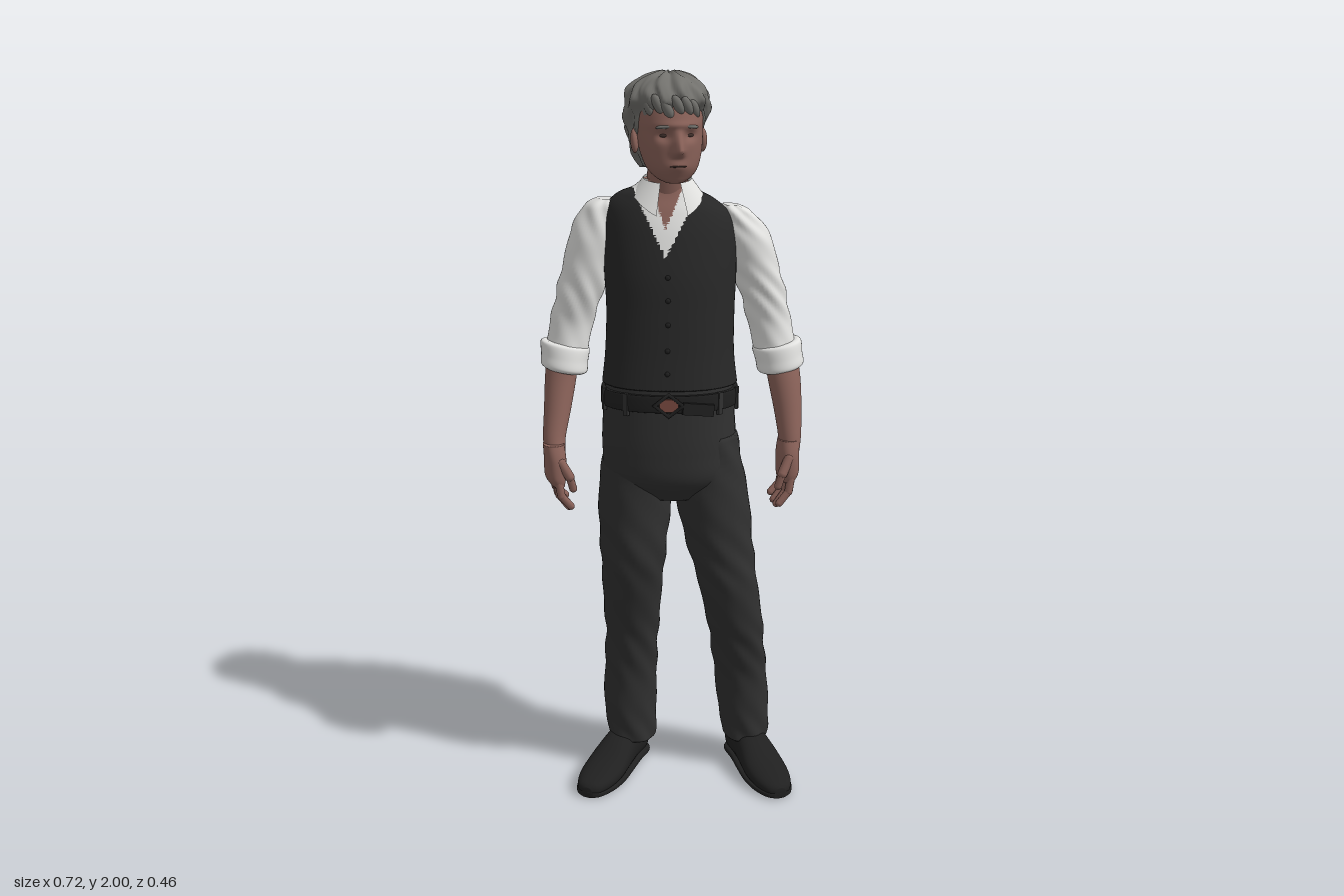
import * as THREE from 'three';
import { mergeVertices } from 'three/addons/utils/BufferGeometryUtils.js';

const mat = (name, color, side = THREE.FrontSide) => {
  const m = new THREE.MeshStandardMaterial({ color, side });
  m.name = name;
  return m;
};
const skin = mat('skin', 0x8a6259), hair = mat('grey hair', 0x72716d);
const white = mat('white shirt', 0xe2e2e0, THREE.DoubleSide), vestCloth = mat('vest cloth', 0x272727);
const trouserCloth = mat('trouser cloth', 0x313131), leather = mat('black leather', 0x202020);
const copper = mat('copper buckle', 0x7a4a40), dark = mat('dark line', 0x40302c);

// Smooth surface from a rule f(u, v); u runs to the right, v runs down
function grid(f, nu, nv) {
  const g = new THREE.PlaneGeometry(1, 1, nu, nv), p = g.attributes.position;
  for (let j = 0, k = 0; j <= nv; j++)
    for (let i = 0; i <= nu; i++, k++) p.setXYZ(k, ...f((i % nu || (i && f.open ? nu : 0)) / nu, j / nv, j));
  g.deleteAttribute('uv');
  g.deleteAttribute('normal');
  const m = mergeVertices(g, 1e-6);
  m.computeVertexNormals();
  return m;
}

const spline = (a, b, c, d, t) =>
  0.5 * (2 * b + (c - a) * t + (2 * a - 5 * b + 4 * c - d) * t * t + (3 * b - a - 3 * c + d) * t ** 3);

function sample(secs, v) {
  const s = v * (secs.length - 1), i = Math.min(Math.floor(s), secs.length - 2);
  const at = k => secs[Math.max(0, Math.min(secs.length - 1, k))];
  return secs[i].map((_, c) => spline(at(i - 1)[c], at(i)[c], at(i + 1)[c], at(i + 2)[c], s - i));
}

// Closed loft through sections [y, centreX, centreZ, radiusX, radiusZ], listed from the top
function loft(secs, { rot = 0, n = 2, warp = null, nu = 40, nv = 40 } = {}) {
  const c = Math.cos(rot), s = Math.sin(rot);
  const power = a => Math.sign(a) * Math.abs(a) ** (2 / n);
  return grid((u, v, j) => {
    const [y, cx, cz, rx, rz] = sample(secs, Math.max(0, Math.min(1, (j - 1) / (nv - 2))));
    const k = j === 0 || j === nv ? 0 : 1, a = u * Math.PI * 2 + Math.PI;
    const x = power(Math.sin(a)) * rx * k, z = power(Math.cos(a)) * rz * k;
    const p = [cx + x * c + z * s, y, cz - x * s + z * c];
    return warp && k ? warp(p, a, cx, cz) : p;
  }, nu, nv);
}

// Sort triangles into material groups by a rule on their centres
function paint(g, rule, count) {
  const p = g.attributes.position, idx = g.index.array, lists = Array.from({ length: count }, () => []);
  for (let i = 0; i < idx.length; i += 3) {
    const t = [idx[i], idx[i + 1], idx[i + 2]];
    const mid = f => (f(t[0]) + f(t[1]) + f(t[2])) / 3;
    lists[rule(mid(k => p.getX(k)), mid(k => p.getY(k)), mid(k => p.getZ(k)))].push(...t);
  }
  g.setIndex(lists.flat());
  let start = 0;
  lists.forEach((l, m) => { g.addGroup(start, l.length, m); start += l.length; });
  return g;
}

function add(parent, name, geometry, material, pos = [0, 0, 0], scale = [1, 1, 1], rot = [0, 0, 0]) {
  const m = new THREE.Mesh(geometry, material);
  m.name = name;
  m.position.set(...pos); m.scale.set(...scale); m.rotation.set(...rot);
  parent.add(m);
  return m;
}

function group(parent, name, x = 0, y = 0, z = 0, ry = 0) {
  const g = new THREE.Group();
  g.name = name; g.position.set(x, y, z); g.rotation.y = ry;
  parent.add(g);
  return g;
}

// Rounded finger segment between two points
function segment(parent, name, a, b, r) {
  const A = new THREE.Vector3(...a), B = new THREE.Vector3(...b), d = B.clone().sub(A);
  const m = add(parent, name, new THREE.CapsuleGeometry(r, d.length(), 4, 10), skin, A.clone().add(B).multiplyScalar(0.5).toArray());
  m.quaternion.setFromUnitVectors(new THREE.Vector3(0, 1, 0), d.normalize());
}

// Soft cloth folds pushed out from the centre line
const folds = (amp, freq) => ([x, y, z], a, cx, cz) => {
  const w = amp * Math.sin(freq * y + 2 * Math.sin(a + 1) + 3 * a / Math.PI * Math.sin(a)) * (0.6 + 0.4 * Math.sin(freq * 0.37 * y));
  return [x + Math.sin(a) * w, y, z + Math.cos(a) * w];
};

function buildHead(root) {
  const head = group(root, 'head', -0.018, 0, 0, -0.05);
  const bump = (d, w) => Math.exp(-d * d / (w * w));
  // Face with eye sockets, brow and nose shaped by rule
  const face = ([x, y, z]) => {
    if (z < 0) return [x, y, z];
    const nose = y > 1.803 ? Math.max(0, 1 - (y - 1.803) / 0.058) : Math.max(0, 1 - (1.803 - y) / 0.018);
    const dz = 0.036 * nose * bump(x, 0.014) - 0.012 * bump(Math.abs(x) - 0.034, 0.018) * bump(y - 1.842, 0.013)
      + 0.006 * bump(y - 1.868, 0.01) * bump(x, 0.06) + 0.004 * bump(y - 1.765, 0.012) * bump(x, 0.025);
    return [x, y, z + dz];
  };
  add(head, 'face', loft([[1.722, 0, 0.055, 0.022, 0.022], [1.735, 0, 0.043, 0.046, 0.042], [1.76, 0, 0.028, 0.067, 0.068],
    [1.8, 0, 0.013, 0.08, 0.086], [1.85, 0, 0, 0.086, 0.1], [1.89, 0, -0.01, 0.087, 0.107], [1.94, 0, -0.02, 0.08, 0.095],
    [1.97, 0, -0.02, 0.05, 0.06]].reverse(), { warp: face, nu: 96, nv: 70 }), skin);
  const ball = new THREE.SphereGeometry(1, 20, 14);
  for (const s of [-1, 1]) {
    add(head, 'ear', ball, skin, [s * 0.09, 1.825, -0.012], [0.011, 0.032, 0.02], [-0.2, s * 0.3, 0]);
    add(head, 'eye', ball, dark, [s * 0.034, 1.843, 0.079], [0.014, 0.005, 0.004], [0, s * 0.35, 0]);
    add(head, 'eyebrow', ball, hair, [s * 0.037, 1.865, 0.091], [0.021, 0.005, 0.006], [0, s * 0.4, s * -0.1]);
  }
  add(head, 'mouth', ball, dark, [0, 1.766, 0.098], [0.023, 0.0025, 0.004]);
  // Hair with wavy swept ridges
  const waves = ([x, y, z], a, cx, cz) => {
    const w = 1 + 0.045 * Math.sin(13 * a + 45 * y) + 0.035 * Math.sin(7 * a - 70 * y) + 0.02 * Math.sin(23 * a + 90 * y);
    return [cx + (x - cx) * w, y + 0.004 * Math.sin(9 * a), cz + (z - cz) * w];
  };
  add(head, 'hair', loft([[1.997, 0.005, -0.025, 0.025, 0.03], [1.985, 0.004, -0.025, 0.062, 0.068], [1.96, 0, -0.023, 0.094, 0.102],
    [1.93, 0, -0.02, 0.106, 0.115], [1.9, 0, -0.033, 0.108, 0.107], [1.85, 0, -0.05, 0.1, 0.088], [1.8, 0, -0.062, 0.086, 0.068],
    [1.755, 0, -0.07, 0.062, 0.048]], { warp: waves, nu: 110, nv: 70 }), hair);
  for (let i = 0; i < 7; i++) {
    const a = -0.9 + i * 0.3;
    add(head, 'fringe lock', ball, hair, [Math.sin(a) * 0.086, 1.915 + 0.008 * Math.sin(i * 2.3), -0.015 + Math.cos(a) * 0.108],
      [0.013, 0.027, 0.011], [0.15, a, 0.5]);
  }
  add(root, 'neck', loft([[1.79, -0.017, -0.015, 0.052, 0.055], [1.72, -0.016, -0.028, 0.054, 0.056],
    [1.64, -0.012, -0.05, 0.062, 0.062]]), skin);
  // Open collar with points at the front
  const collar = (u, v) => {
    const a = 0.42 + u * (Math.PI * 2 - 0.84), f = (1 + Math.cos(a)) / 2, r = 0.064 + v * (0.018 + 0.02 * f);
    return [Math.sin(a) * r, 1.737 - 0.02 * f - v * (0.035 + 0.055 * f ** 4), Math.cos(a) * r];
  };
  collar.open = true;
  add(group(root, 'collar', -0.015, 0, -0.03, -0.15), 'shirt collar', grid(collar, 60, 8), white);
}

function buildTorso(root) {
  const rot = -0.33;
  const secs = [[1.72, -0.015, -0.04, 0.06, 0.055], [1.695, -0.01, -0.055, 0.09, 0.075], [1.675, -0.01, -0.062, 0.13, 0.088],
    [1.64, -0.005, -0.065, 0.165, 0.108], [1.58, 0, -0.062, 0.177, 0.128], [1.48, 0, -0.055, 0.178, 0.147],
    [1.38, -0.005, -0.037, 0.173, 0.142], [1.27, -0.013, -0.018, 0.174, 0.135], [1.185, -0.015, -0.012, 0.183, 0.141]];
  const tilt = ([x, y, z]) => [x, y - Math.max(0, y - 1.5) * 0.35 * x, z];
  const body = loft(secs, { rot, n: 2.2, warp: tilt, nu: 140, nv: 120 });
  // Vest with a V opening over shirt and bare throat
  const region = (x, y, z) => {
    const lx = (x + 0.005) * Math.cos(rot) - (z + 0.06) * Math.sin(rot);
    const lz = (x + 0.005) * Math.sin(rot) + (z + 0.06) * Math.cos(rot);
    if (lz > 0 && y > 1.6 && Math.abs(lx) < (y - 1.6) * 0.4) return 2;
    return y > 1.7 || (lz > 0 && y > 1.53 && Math.abs(lx) < (y - 1.53) * 0.52) ? 1 : 0;
  };
  add(root, 'vest and shirt front', paint(body, region, 3), [vestCloth, white, skin]);
  // Buttons down the front
  for (const k of [5, 5.6, 6.2, 6.8, 7.4]) {
    const [y, cx, cz, , d] = sample(secs, k / 8);
    add(root, 'vest button', new THREE.SphereGeometry(0.007, 12, 8), leather,
      [cx + Math.sin(rot) * d, y, cz + Math.cos(rot) * d], [1, 1, 0.6], [0, rot, 0]);
  }
  // Hips, belt and buckle
  add(root, 'trouser hips', loft([[1.2, -0.015, -0.012, 0.173, 0.13], [1.1, -0.015, -0.02, 0.18, 0.137], [1.0, -0.012, -0.025, 0.185, 0.14],
    [0.92, -0.005, -0.027, 0.178, 0.133], [0.86, 0, -0.028, 0.1, 0.09]], { rot: -0.3, n: 2.2 }), trouserCloth);
  add(root, 'belt', loft([[1.172, -0.015, -0.013, 0.182, 0.139], [1.168, -0.015, -0.013, 0.186, 0.143],
    [1.13, -0.015, -0.015, 0.187, 0.144], [1.126, -0.015, -0.015, 0.182, 0.139]], { rot: -0.3, n: 2.2, nu: 64, nv: 14 }), leather);
  const waist = group(root, 'belt fittings', -0.015, 1.148, -0.013, -0.3);
  add(waist, 'buckle', new THREE.TorusGeometry(0.03, 0.006, 8, 4), leather, [0, 0, 0.148], [1.25, 1, 1], [0, 0, 0]);
  add(waist, 'buckle plate', new THREE.BoxGeometry(0.05, 0.034, 0.009), copper, [0, 0, 0.145]);
  add(waist, 'belt tail', new THREE.BoxGeometry(0.085, 0.032, 0.01), leather, [0.078, -0.012, 0.139], [1, 1, 1], [0, 0.25, -0.12]);
  for (const a of [-1.2, -0.65, 0.8, 1.3, 2.5, 3.14, 3.8])
    add(waist, 'belt loop', new THREE.BoxGeometry(0.014, 0.06, 0.01), trouserCloth,
      [Math.sin(a) * 0.188, -0.004, Math.cos(a) * 0.145], [1, 1, 1], [0, a, 0]);
}

function buildArm(root, name, s, sleeve, cuff, forearm, palm) {
  const arm = group(root, name);
  add(arm, 'sleeve', loft(sleeve, { warp: folds(0.0035, 75), nu: 48, nv: 70 }), white);
  const [cy, cx, cz] = cuff;
  add(arm, 'rolled cuff', loft([[cy + 0.04, cx - s * 0.006, cz - 0.01, 0.058, 0.06], [cy + 0.032, cx - s * 0.004, cz - 0.008, 0.067, 0.069],
    [cy, cx, cz, 0.064, 0.068], [cy - 0.027, cx + s * 0.003, cz + 0.006, 0.063, 0.066], [cy - 0.037, cx + s * 0.004, cz + 0.008, 0.05, 0.053]],
    { warp: ([x, y, z]) => [x, y + s * (x - cx) * 0.2, z] }), white);
  add(arm, 'forearm', loft(forearm), skin);
  // Hand with curled fingers
  const [px, py, pz] = palm, P = (x, y, z) => [px + s * x, py + y, pz + z];
  add(arm, 'palm', loft([[py + 0.07, px + s * 0.003, pz - 0.003, 0.028, 0.034], [py + 0.03, px, pz, 0.029, 0.044],
    [py - 0.02, px, pz, 0.027, 0.047], [py - 0.045, px - s * 0.005, pz, 0.018, 0.042]], { n: 2.3 }), skin);
  for (let i = 0; i < 4; i++) {
    const z = 0.034 - i * 0.023, len = [0.9, 1, 0.94, 0.75][i];
    const mid = P(-0.008, -0.03 - 0.045 * len, z * 1.05);
    segment(arm, 'finger', P(0, -0.025, z), mid, 0.0115);
    segment(arm, 'finger', mid, P(-0.034, -0.03 - 0.08 * len, z), 0.0105);
  }
  segment(arm, 'thumb', P(-0.008, 0.025, 0.034), P(-0.03, -0.015, 0.044), 0.0135);
  segment(arm, 'thumb', P(-0.03, -0.015, 0.044), P(-0.04, -0.05, 0.04), 0.011);
}

function buildLeg(root, name, secs, heel, turn) {
  add(root, name, loft(secs, { n: 2.2, warp: folds(0.003, 55), nu: 48, nv: 90 }), trouserCloth);
  // Shoe lofted from toe to heel along its length
  const shoe = [[0.34, 0, -0.02, 0.014, 0.012], [0.325, 0, -0.024, 0.036, 0.02], [0.28, 0, -0.03, 0.054, 0.027], [0.22, 0, -0.038, 0.06, 0.035],
    [0.15, 0, -0.052, 0.054, 0.05], [0.08, 0, -0.06, 0.046, 0.06], [0.02, 0, -0.055, 0.044, 0.053], [0, 0, -0.05, 0.03, 0.043]];
  const foot = group(root, name + ' shoe', heel[0], 0, heel[1], turn);
  add(foot, 'shoe upper', loft(shoe, { n: 2.3 }).rotateX(Math.PI / 2), leather);
  add(foot, 'sole', loft(shoe.map(([t, x, , w]) => [t, x, -0.011, w + 0.003, t < 0.1 ? 0.011 : 0.009]), { n: 4 }).rotateX(Math.PI / 2), leather);
}

export function createModel() {
  const root = new THREE.Group();
  root.name = 'standing man';
  buildHead(root);
  buildTorso(root);
  buildArm(root, 'left arm', 1,
    [[1.65, 0.165, -0.04, 0.02, 0.035], [1.63, 0.178, -0.037, 0.046, 0.058], [1.57, 0.205, -0.03, 0.065, 0.073], [1.5, 0.225, -0.025, 0.066, 0.072],
      [1.42, 0.25, -0.02, 0.063, 0.066], [1.33, 0.273, -0.018, 0.06, 0.062], [1.24, 0.29, -0.004, 0.058, 0.06]],
    [1.235, 0.295, 0.003],
    [[1.24, 0.297, 0.012, 0.045, 0.047], [1.18, 0.3, 0.033, 0.045, 0.047], [1.1, 0.302, 0.06, 0.038, 0.042], [1.03, 0.3, 0.084, 0.031, 0.036],
      [0.99, 0.297, 0.09, 0.028, 0.036]],
    [0.95, 0.292, 0.092].length && [0.292, 0.95, 0.092]);
  buildArm(root, 'right arm', -1,
    [[1.668, -0.16, -0.125, 0.02, 0.035], [1.645, -0.175, -0.13, 0.046, 0.058], [1.57, -0.195, -0.135, 0.061, 0.072], [1.5, -0.21, -0.14, 0.063, 0.072],
      [1.42, -0.228, -0.15, 0.063, 0.07], [1.33, -0.25, -0.162, 0.06, 0.063], [1.24, -0.27, -0.155, 0.057, 0.06]],
    [1.235, -0.275, -0.15],
    [[1.24, -0.28, -0.15, 0.044, 0.046], [1.18, -0.29, -0.138, 0.043, 0.045], [1.1, -0.306, -0.113, 0.037, 0.041], [1.03, -0.322, -0.087, 0.031, 0.036],
      [0.99, -0.325, -0.072, 0.028, 0.036]],
    [-0.327, 0.945, -0.062]);
  buildLeg(root, 'left trouser leg',
    [[1.04, 0.085, 0, 0.08, 0.11], [0.85, 0.103, 0.005, 0.099, 0.114], [0.7, 0.125, 0.015, 0.09, 0.104], [0.6, 0.145, 0.019, 0.082, 0.099],
      [0.48, 0.17, 0.01, 0.078, 0.091], [0.4, 0.186, -0.008, 0.075, 0.089], [0.3, 0.203, -0.027, 0.074, 0.083], [0.2, 0.214, -0.032, 0.074, 0.079],
      [0.12, 0.222, -0.034, 0.067, 0.076], [0.085, 0.222, -0.035, 0.064, 0.074]], [0.222, -0.105], 0.05);
  buildLeg(root, 'right trouser leg',
    [[1.04, -0.1, -0.05, 0.08, 0.11], [0.85, -0.103, -0.06, 0.099, 0.112], [0.7, -0.108, -0.062, 0.09, 0.108], [0.6, -0.108, -0.075, 0.084, 0.1],
      [0.48, -0.102, -0.105, 0.077, 0.098], [0.4, -0.1, -0.117, 0.073, 0.093], [0.3, -0.102, -0.124, 0.074, 0.085], [0.2, -0.104, -0.125, 0.076, 0.08],
      [0.12, -0.1, -0.125, 0.07, 0.076], [0.085, -0.1, -0.125, 0.067, 0.074]], [-0.065, -0.185], -0.71);
  return root;
}
